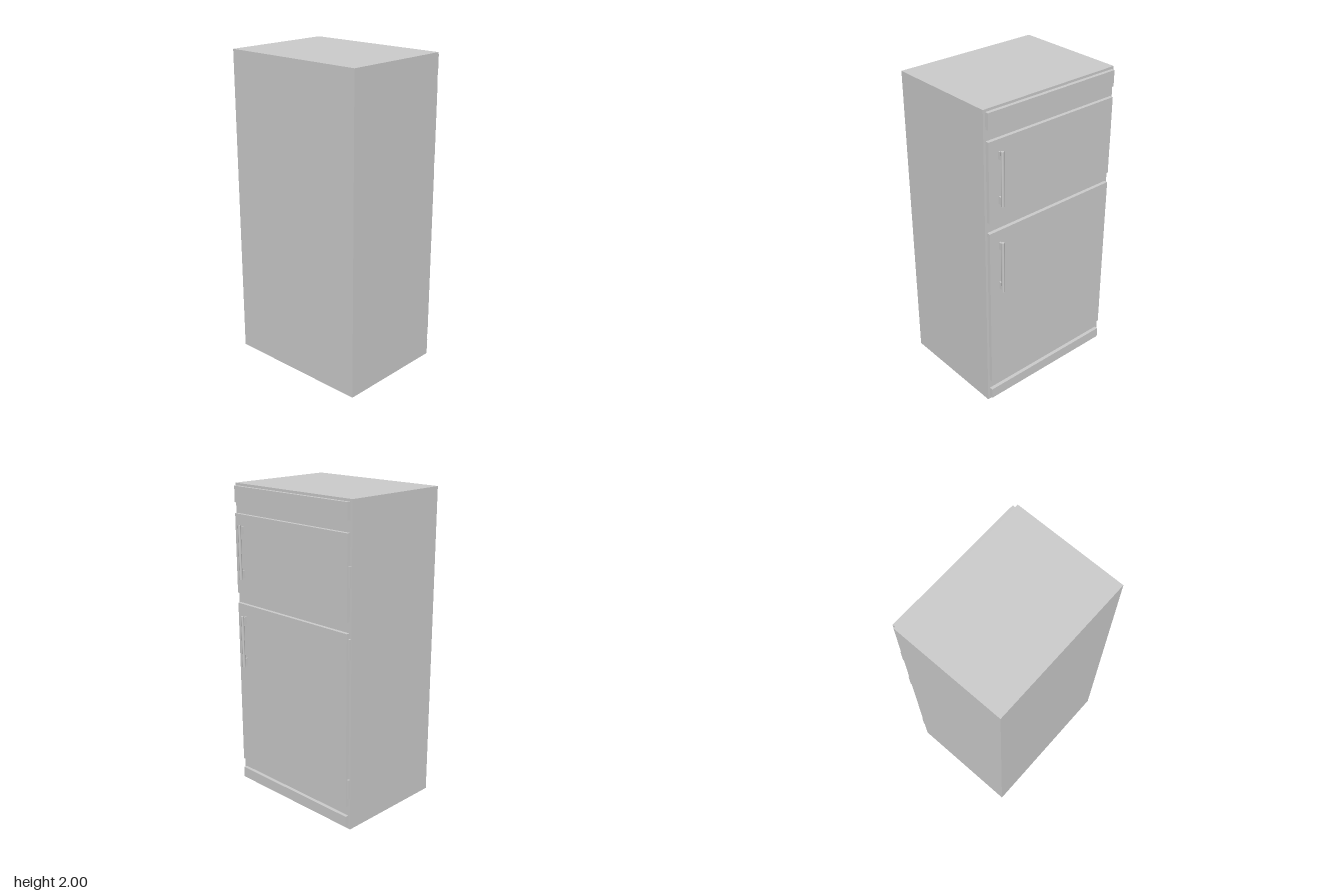
import * as THREE from 'three';

const material = new THREE.MeshStandardMaterial({ color: 0xcccccc, side: THREE.DoubleSide });
const BACK = -0.34, PANEL_FACE = -0.363, HALF_W = 0.49, PANEL_HALF = 0.475;
const BOTTOM = 3, POS_Z = 4, NEG_Z = 5; // box face numbers

// Box given by its limits, with some faces left open
function box(name, [x0, x1], [y0, y1], [z0, z1], open = []) {
  const geo = new THREE.BoxGeometry(x1 - x0, y1 - y0, z1 - z0);
  const index = Array.from(geo.index.array).filter((_, i) => !open.includes(Math.floor(i / 6)));
  geo.setIndex(index);
  geo.clearGroups();
  geo.translate((x0 + x1) / 2, (y0 + y1) / 2, (z0 + z1) / 2);
  const mesh = new THREE.Mesh(geo, material);
  mesh.name = name;
  return mesh;
}

function rectangle(PathType, x0, x1, y0, y1) {
  return new PathType([[x0, y0], [x1, y0], [x1, y1], [x0, y1]].map(p => new THREE.Vector2(...p)));
}

// Upright rod held by two small brackets
function handle(name, y0, y1) {
  const group = new THREE.Group();
  group.name = name;
  const x = 0.403, z = -0.393;
  const rod = new THREE.Mesh(new THREE.CylinderGeometry(0.0095, 0.0095, y1 - y0, 8), material);
  rod.name = 'handleRod';
  rod.position.set(x, (y0 + y1) / 2, z);
  group.add(rod);
  for (const y of [y0 + 0.008, y1 - 0.056]) {
    group.add(box('handleBracket', [x - 0.005, x + 0.005], [y, y + 0.048], [z, PANEL_FACE]));
  }
  return group;
}

export function createModel() {
  const model = new THREE.Group();
  model.name = 'refrigerator';

  // Hollow cabinet, open underneath
  model.add(box('cabinet', [-HALF_W, HALF_W], [0, 2], [BACK, 0.4], [BOTTOM, NEG_Z]));

  // Raised panels and the frame around them
  const panels = [
    ['basePanel', 0.02, 0.09, true],
    ['lowerDoor', 0.155, 1.247, true],
    ['upperDoor', 1.314, 1.817, false],
    ['topPanel', 1.885, 1.985, false],
  ];
  const frameShape = rectangle(THREE.Shape, -HALF_W, HALF_W, 0, 2);
  for (const [name, y0, y1, openBelow] of panels) {
    frameShape.holes.push(rectangle(THREE.Path, -PANEL_HALF, PANEL_HALF, y0, y1));
    model.add(box(name, [-PANEL_HALF, PANEL_HALF], [y0, y1], [PANEL_FACE, BACK],
      openBelow ? [POS_Z, BOTTOM] : [POS_Z]));
  }
  const frame = new THREE.Mesh(new THREE.ShapeGeometry(frameShape), material);
  frame.name = 'doorFrame';
  frame.rotation.y = Math.PI; // face outward; the shape is symmetric in x
  frame.position.z = BACK;
  model.add(frame);

  // Handles
  model.add(handle('upperHandle', 1.414, 1.754), handle('lowerHandle', 0.837, 1.177));

  // Hinges
  for (const y of [0.21, 1.09, 1.51]) {
    model.add(box('hinge', [-0.487, -PANEL_HALF], [y, y + 0.125], [-0.353, BACK]));
  }
  return model;
}
